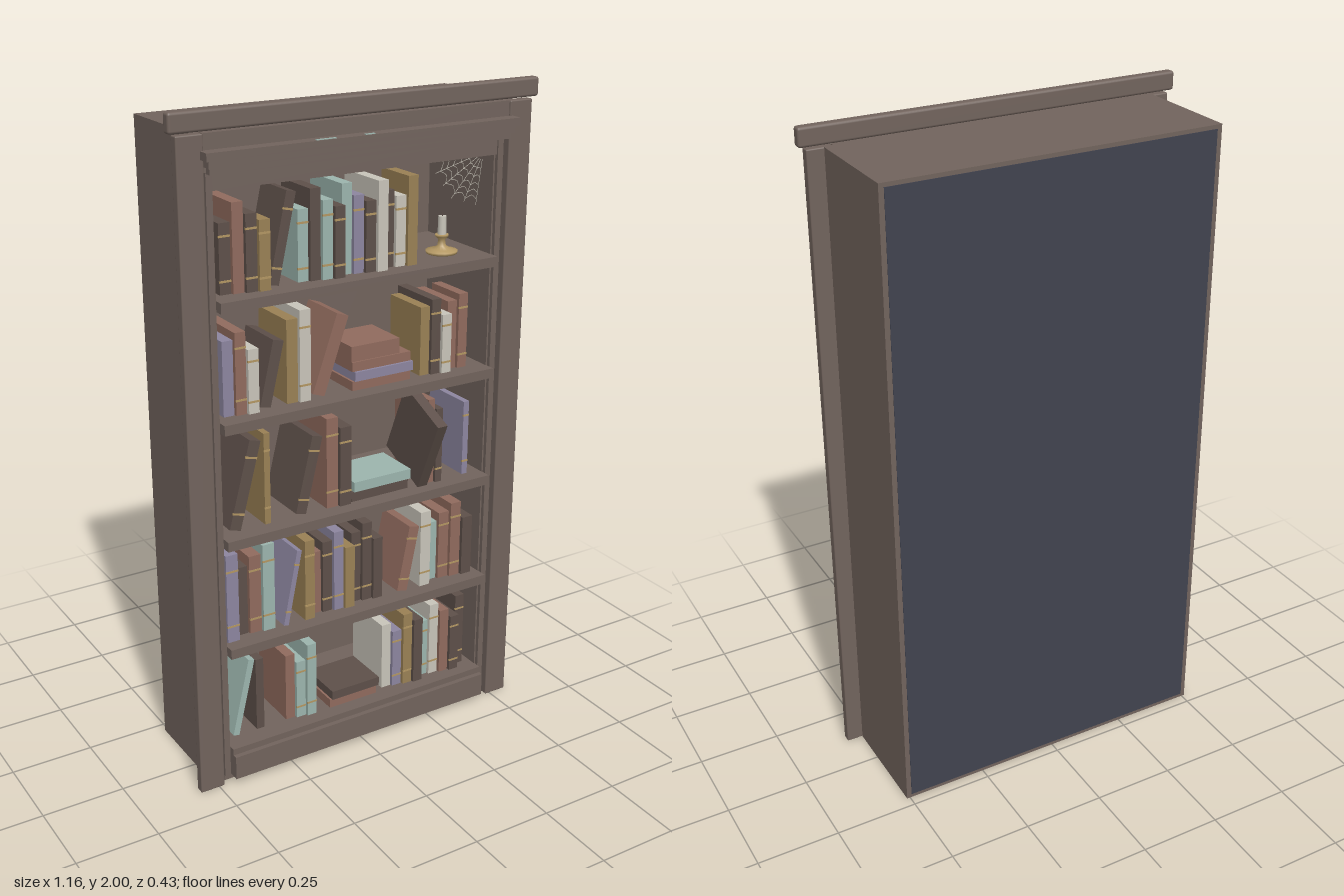
import * as THREE from 'three';
import { RoundedBoxGeometry } from 'three/addons/geometries/RoundedBoxGeometry.js';

const mat = (name, color) => {
  const m = new THREE.MeshStandardMaterial({ color });
  m.name = name;
  return m;
};
const M = {
  wood: mat('wood', 0x72645d), back: mat('backing', 0x41434f),
  r: mat('rust', 0x916b5e), u: mat('umber', 0x5e504a), t: mat('teal', 0x9cb5ae),
  o: mat('ochre', 0x9a8155), l: mat('lavender', 0x8d86a0), c: mat('cream', 0xc9c5ba),
  brass: mat('brass', 0xb39763),
};

// Shelf heights from the top down
const shelfY = [1.495, 1.15, .8, .455, .115];

export function createModel() {
  const model = new THREE.Group();
  model.name = 'bookcase';

  const add = (name, geo, material, parent = model) => {
    const m = new THREE.Mesh(geo, material);
    m.name = name;
    parent.add(m);
    return m;
  };
  // Box given by its limits on each axis
  const box = (name, x0, x1, y0, y1, z0, z1, material = M.wood, parent = model, round = 0) => {
    const s = [x1 - x0, y1 - y0, z1 - z0];
    const geo = round ? new RoundedBoxGeometry(...s, 2, round) : new THREE.BoxGeometry(...s);
    const m = add(name, geo, material, parent);
    m.position.set((x0 + x1) / 2, (y0 + y1) / 2, (z0 + z1) / 2);
    return m;
  };

  // Carcass
  for (const s of [-1, 1]) {
    const side = (name, a, b, ...rest) => box(name, Math.min(s * a, s * b), Math.max(s * a, s * b), ...rest);
    side('sidePanel', .49, .51, 0, 1.94, -.217, .12);
    side('innerWall', .45, .49, .02, 1.84, -.2, .118);
    side('frontStile', .483, .56, 0, 1.94, .115, .143, M.wood, model, .004);
    side('innerBead', .455, .474, .02, 1.84, .115, .13);
  }
  box('topPanel', -.49, .49, 1.92, 1.94, -.217, .12);
  box('bottomPanel', -.49, .49, 0, .02, -.217, .12);
  box('innerBack', -.49, .49, .02, 1.92, -.208, -.2);
  box('backPanel', -.495, .495, .012, 1.928, -.2185, -.2095, M.back);

  // Crown, fascia and stepped moulding
  box('crown', -.58, .58, 1.945, 2, .115, .146, M.wood, model, .008);
  box('fascia', -.483, .483, 1.84, 1.94, .1, .138);
  box('mouldingTop', -.493, .493, 1.875, 1.897, .135, .178);
  box('mouldingMiddle', -.483, .483, 1.855, 1.875, .135, .168);
  box('mouldingBottom', -.475, .475, 1.836, 1.855, .135, .156);
  box('topRail', -.455, .455, 1.788, 1.84, .08, .125);
  for (const [a, b] of [[-.17, -.11], [-.02, .01]]) box('mouldingChip', a, b, 1.897, 1.899, .166, .174, M.t);

  // Shelves and plinth
  for (const y of shelfY.slice(0, 4)) box('shelf', -.452, .452, y - .03, y, -.2, .152);
  box('bottomShelf', -.452, .452, .09, .115, -.2, .145);
  box('plinth', -.452, .452, .02, .095, .09, .16);

  const books = new THREE.Group();
  books.name = 'books';
  model.add(books);

  // One upright or leaning book, with bands on some spines
  const addBook = (x, y, t, h, colour, lean, seed) => {
    const book = new THREE.Group();
    book.name = lean ? 'leaningBook' : 'book';
    const length = (h - t * Math.sin(lean)) / Math.cos(lean);
    const front = .085 + (seed * 5 % 4) * .008;
    const depth = .14 + (seed * 7 % 5) * .01;
    box('cover', -t, 0, 0, length, front - depth, front, M[colour], book);
    if (seed % 3 !== 1) {
      for (const f of [.17, .8]) {
        box('spineBand', -t - .0005, .0005, length * f, length * f + .006, front - .004, front + .001, M.brass, book);
      }
    }
    book.position.set(x + t * Math.cos(lean), y, 0);
    book.rotation.z = -lean;
    books.add(book);
  };
  // Row of books sharing a width, with heights varied by a wave
  const addRow = (shelf, x0, x1, height, colours) => {
    const step = (x1 - x0) / colours.length;
    [...colours].forEach((c, i) => {
      const wave = colours.length > 1 ? 1 + .14 * Math.sin(i * 2.1 + shelf - .9) : 1;
      addBook(x0 + i * step, shelfY[shelf], step * .93, height * wave, c, 0, i + shelf);
    });
  };
  addRow(0, -.42, -.275, .22, 'uruo');
  addRow(0, -.18, .205, .228, 'tututluucuco'.replace('uu', 'u'));
  addRow(1, -.424, -.318, .215, 'lrc');
  addRow(1, -.224, -.148, .243, 'oc');
  addRow(1, .226, .396, .207, 'oucrr');
  addRow(2, -.306, -.286, .28, 'o');
  addRow(2, -.1, -.018, .25, 'ru');
  addRow(2, .256, .305, .24, 'ru');
  addRow(2, .386, .407, .238, 'l');
  addRow(3, -.44, -.276, .25, 'lurt');
  addRow(3, -.18, .1, .232, 'orulouuu');
  addRow(3, .232, .43, .225, 'ctrru');
  addRow(4, -.34, -.312, .24, 'u');
  addRow(4, -.238, -.137, .22, 'rtt');
  addRow(4, .11, .426, .222, 'cloutcruu');

  // Leaning books
  const addLeaning = (shelf, x, t, h, colour, lean) => addBook(x, shelfY[shelf], t, h, colour, lean, shelf);
  addLeaning(0, -.27, .03, .26, 'u', .22);
  addLeaning(1, -.31, .034, .197, 'u', .23);
  addLeaning(1, -.14, .04, .24, 'r', .34);
  addLeaning(2, -.42, .036, .27, 'u', .26);
  addLeaning(2, -.204, .034, .24, 'u', .24);
  addLeaning(3, -.254, .016, .238, 'l', .2);
  addLeaning(3, .148, .036, .217, 'r', .2);
  addLeaning(4, -.42, .02, .248, 't', .23);

  // Stacks of lying books, each layer shifted a little
  const addStack = (shelf, x, width, thickness, colours) => [...colours].forEach((c, i) => {
    const y = shelfY[shelf] + i * thickness;
    const shift = (i % 2) * .006;
    box('lyingBook', x + shift, x + width + shift, y, y + thickness * .97, -.04 - shift, .1 + shift, M[c], books);
  });
  addStack(1, -.013, .2, .029, 'rlr');
  addStack(1, -.016, .164, .134 / 3, '');
  addStack(2, -.014, .2, .032, 'ut');
  addStack(4, -.09, .17, .0295, 'ru');
  box('lyingBook', -.016, .148, 1.238, 1.284, -.05, .1, M.r, books);

  // Book tipping forward out of the middle shelf
  const tipping = new THREE.Group();
  tipping.name = 'tippingBook';
  box('cover', -.017, .017, 0, .247, -.19, 0, M.u, tipping);
  tipping.position.set(.229, .801, .115);
  tipping.rotation.x = .41;
  books.add(tipping);

  // Candle on a brass holder
  const candle = new THREE.Group();
  candle.name = 'candle';
  candle.position.set(.338, 1.495, .03);
  model.add(candle);
  const profile = [[0, 0], [.046, 0], [.048, .008], [.03, .012], [.013, .022], [.01, .04], [.02, .05], [.02, .056], [0, .056]];
  add('holder', new THREE.LatheGeometry(profile.map(p => new THREE.Vector2(...p)), 16), M.brass, candle);
  add('wax', new THREE.CylinderGeometry(.012, .013, .054, 12), M.c, candle).position.y = .083;
  add('wick', new THREE.CylinderGeometry(.0015, .0015, .012, 5), M.u, candle).position.y = .115;

  // Cobweb in the upper corner
  const web = new THREE.Group();
  web.name = 'cobweb';
  web.position.set(.448, 1.786, .07);
  model.add(web);
  const at = (r, a) => new THREE.Vector3(-r * Math.cos(a), -r * Math.sin(a), -r * .15);
  const thread = (...pts) => add('thread',
    new THREE.TubeGeometry(new THREE.CatmullRomCurve3(pts), 4, .0009, 4), M.c, web);
  const angles = [0, .32, .62, .95, 1.25, 1.55];
  angles.forEach((a, i) => {
    thread(at(.02, a), at(.15 + (i % 2) * .008, a));
    if (!i) return;
    for (const r of [.05, .075, .1, .122, .142]) {
      thread(at(r, angles[i - 1]), at(r * .9, (a + angles[i - 1]) / 2), at(r, a));
    }
  });

  return model;
}
